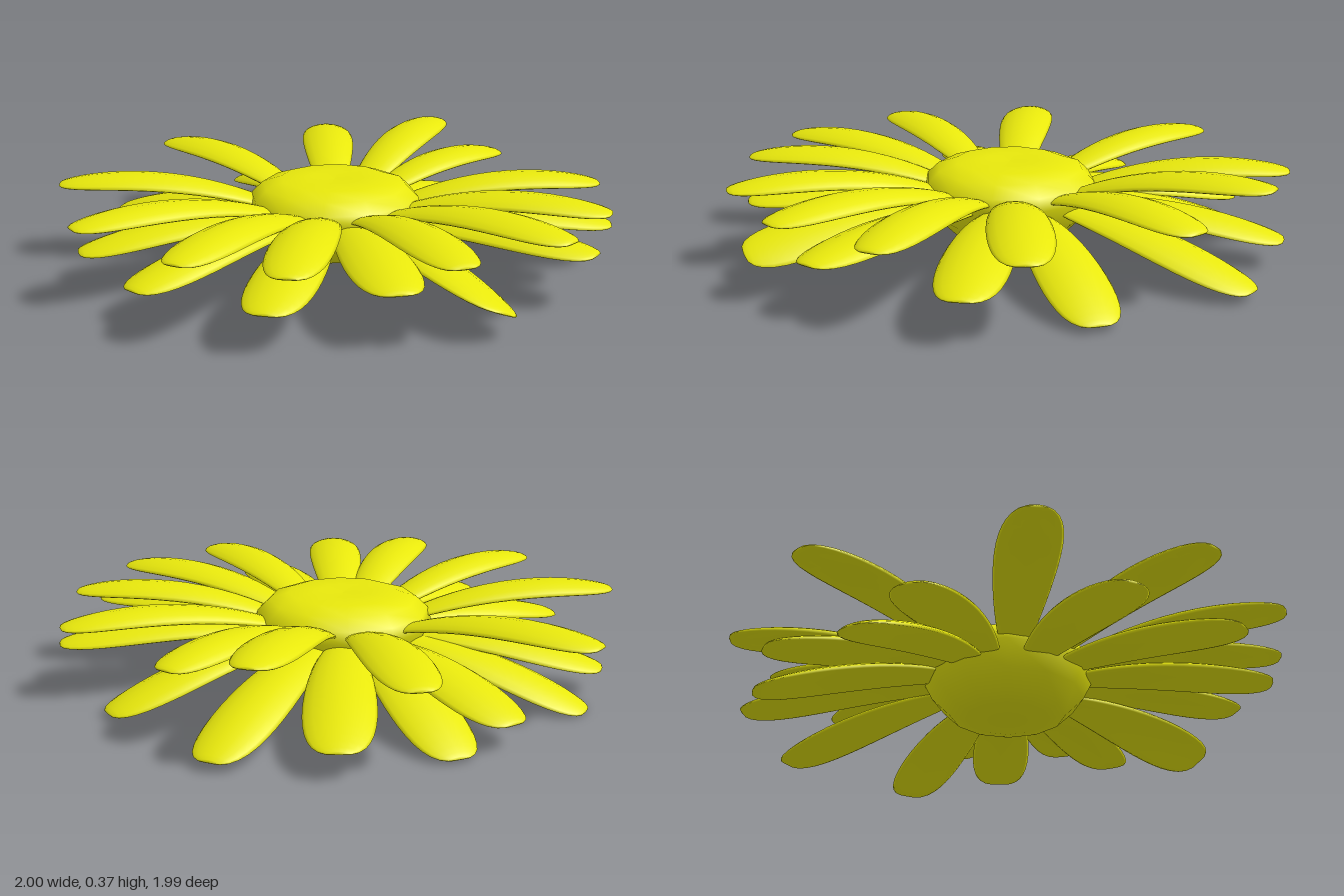
import * as THREE from 'three';
import { mergeVertices } from 'three/addons/utils/BufferGeometryUtils.js';

const CX = 0.015, CZ = -0.035;
const material = new THREE.MeshStandardMaterial({ color: 0xe8e80c });

// Tip of each petal: x, y, z, sideways tilt
const UPPER = [
  [-0.34, 0.29, -0.99, 0], [0.38, 0.29, -0.99, 0], [0.78, 0.35, -0.69, 0],
  [0.89, 0.27, -0.36, 0], [0.99, 0.27, 0.25, 0], [0.76, 0.28, 0.66, 0],
  [0.43, 0.29, 0.91, 0], [0.0, 0.29, 0.99, 0], [-0.51, 0.28, 0.84, 0],
  [-0.79, 0.29, 0.62, 0], [-1.0, 0.29, 0.14, 0], [-0.92, 0.29, -0.46, 0],
];
const LOWER = [
  [0.0, 0.1, -0.97, 0], [0.19, 0.02, -0.94, 0], [0.58, 0.1, -0.86, 0],
  [0.86, 0.04, -0.58, 0], [0.94, 0.03, -0.01, 0], [0.93, 0.16, 0.43, 0],
  [0.59, 0.2, 0.82, 0], [0.16, 0.11, 0.96, 0.4], [-0.17, 0.2, 0.9, 0],
  [-0.55, 0.14, 0.75, 0], [-0.86, 0.13, 0.36, 0], [-0.93, 0.12, -0.13, 0],
  [-0.62, 0.1, -0.73, 0], [-0.44, 0.01, -0.84, 0],
];

// Petal: a sphere stretched along an arched spine, blunt at the tip and narrower at the root
function petal(name, [tipX, tipY, tipZ, tilt], rootY, arch, width) {
  const length = Math.hypot(tipX - CX, tipZ - CZ);
  const dx = (tipX - CX) / length, dz = (tipZ - CZ) / length;
  const rootR = 0.2;
  const geo = new THREE.SphereGeometry(1, 16, 20);
  const p = geo.attributes.position;
  for (let i = 0; i < p.count; i++) {
    const t = (p.getY(i) + 1) / 2;
    const ring = Math.max(Math.hypot(p.getX(i), p.getZ(i)), 1e-6);
    const blunt = Math.pow(ring, -0.3);
    const side = p.getX(i) * blunt * width * (0.075 + 0.055 * t);
    const r = rootR + (length - rootR) * t;
    const spine = rootY + (tipY - rootY) * t + arch * 4 * t * (1 - t);
    const y = spine + p.getZ(i) * blunt * 0.02 - 1.8 * side * side + tilt * side * t;
    p.setXYZ(i, CX + dx * r - dz * side, y, CZ + dz * r + dx * side);
  }
  geo.deleteAttribute('uv');
  geo.deleteAttribute('normal');
  const smooth = mergeVertices(geo, 1e-4);
  smooth.computeVertexNormals();
  const mesh = new THREE.Mesh(smooth, material);
  mesh.name = name;
  return mesh;
}

export function createModel() {
  const flower = new THREE.Group();
  flower.name = 'flower';

  // Button-shaped centre with a slightly dished top
  const profile = [
    [0, 0.032], [0.14, 0.036], [0.21, 0.052], [0.28, 0.12], [0.325, 0.21],
    [0.312, 0.255], [0.27, 0.295], [0.2, 0.318], [0.1, 0.319], [0, 0.314],
  ].map(([r, y]) => new THREE.Vector2(r, y));
  const centre = new THREE.Mesh(new THREE.LatheGeometry(profile, 12), material);
  centre.name = 'flowerCentre';
  centre.position.set(CX, 0, CZ);
  flower.add(centre);

  // Two layers of petals
  const upper = new THREE.Group();
  upper.name = 'upperPetals';
  UPPER.forEach((tip) => upper.add(petal('upperPetal', tip, 0.2, 0.06, 1)));
  const lower = new THREE.Group();
  lower.name = 'lowerPetals';
  LOWER.forEach((tip) => lower.add(petal('lowerPetal', tip, 0.18, 0.04, 1.1)));
  flower.add(upper, lower);
  return flower;
}
